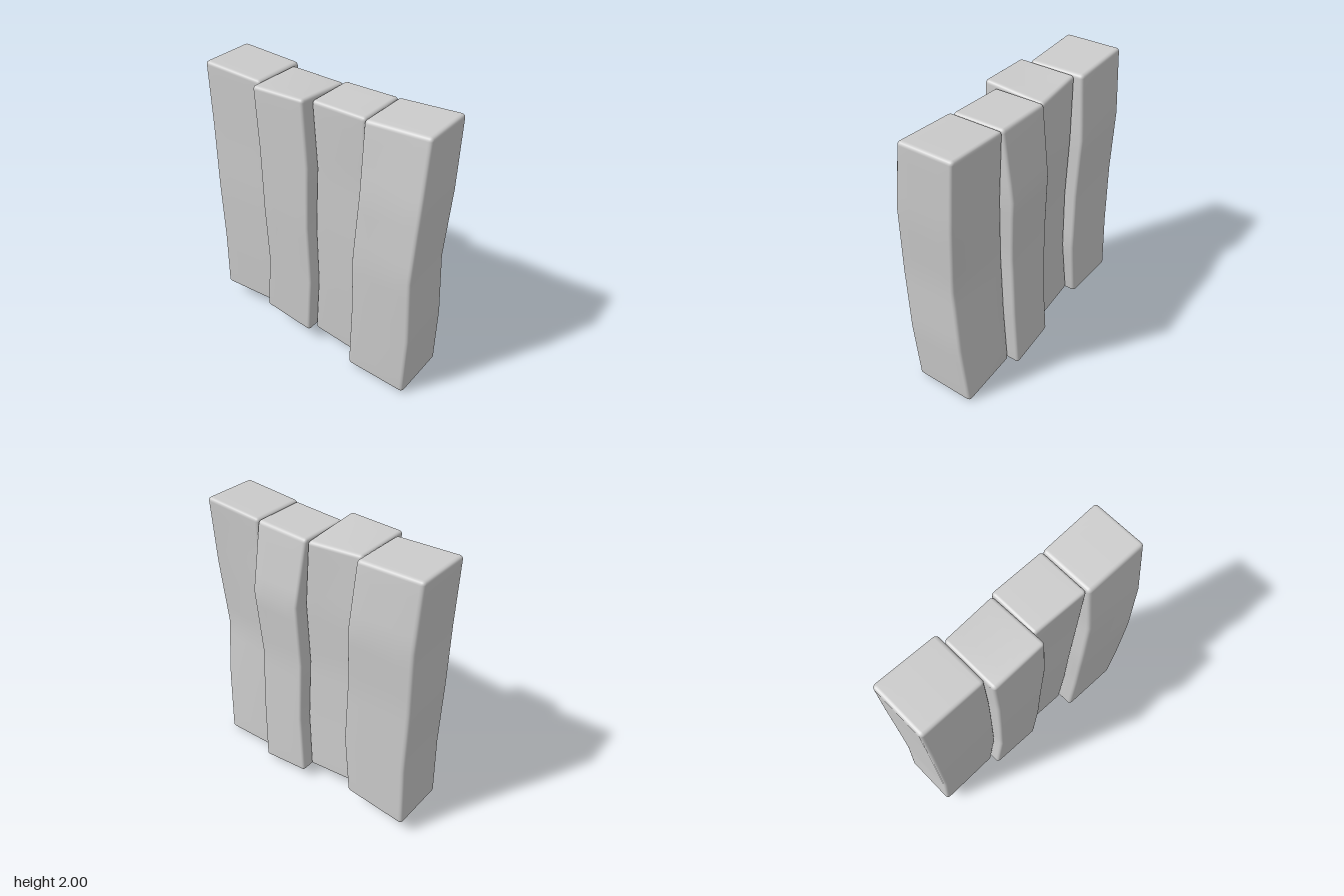
import * as THREE from 'three';
import { mergeVertices } from 'three/addons/utils/BufferGeometryUtils.js';

const { lerp, clamp } = THREE.MathUtils;
const W = 0.42, H = 1.95, D = 0.43, R = 0.026;

// z of the five seams (front face to back face) at five heights, bottom to top
const seams = [
  [0.835, 0.86, 0.852, 0.872, 0.87],
  [0.375, 0.39, 0.39, 0.418, 0.41],
  [0, 0.03, 0.02, 0.032, 0],
  [-0.4, -0.355, -0.367, -0.375, -0.4],
  [-0.867, -0.85, -0.857, -0.862, -0.872],
];

// left / right: x of the -x and +x sides on the front (F) and back (B) edges at five heights
// bottom / top: y as [front -x, front +x, back -x, back +x]
const planks = [
  {
    leftF: [-0.25, -0.268, -0.288, -0.265, -0.2], leftB: [-0.245, -0.25, -0.255, -0.24, -0.19],
    rightF: [0.2, 0.165, 0.13, 0.167, 0.2], rightB: [0.2, 0.182, 0.165, 0.185, 0.2],
    bottom: [0.01, 0, 0.03, 0.03], top: [1.985, 1.985, 1.96, 1.96],
  },
  {
    leftF: [-0.13, -0.145, -0.155, -0.155, -0.175], leftB: [-0.13, -0.14, -0.15, -0.15, -0.155],
    rightF: [0.283, 0.265, 0.248, 0.275, 0.2], rightB: [0.28, 0.27, 0.26, 0.28, 0.21],
    bottom: [0.03, 0.025, 0.08, 0.075], top: [1.96, 1.96, 1.955, 1.955],
  },
  {
    leftF: [-0.21, -0.22, -0.235, -0.24, -0.243], leftB: [-0.21, -0.22, -0.235, -0.24, -0.243],
    rightF: [0.2, 0.185, 0.175, 0.195, 0.2], rightB: [0.2, 0.185, 0.175, 0.19, 0.178],
    bottom: [0.1, 0.095, 0.16, 0.155], top: [1.985, 1.945, 1.975, 1.97],
  },
  {
    leftF: [-0.14, -0.155, -0.165, -0.165, -0.17], leftB: [-0.14, -0.155, -0.165, -0.165, -0.17],
    rightF: [0.27, 0.265, 0.26, 0.278, 0.235], rightB: [0.27, 0.265, 0.26, 0.275, 0.245],
    bottom: [0.135, 0.135, 0.115, 0.105], top: [1.975, 1.975, 2, 2],
  },
];

// value along a five-point profile, t from 0 to 1
function sample(values, t) {
  const i = Math.min(3, Math.floor(t * 4));
  return lerp(values[i], values[i + 1], t * 4 - i);
}

// grid lines of one axis: tight at the rounded ends, even between
function gridLines(size, inner) {
  const h = size / 2;
  const start = [0, 0.3, 0.65, 1].map((k) => -h + R * k);
  const middle = [];
  for (let i = 1; i < inner; i++) middle.push(-h + (size * i) / inner);
  return [...start, ...middle, ...start.map((v) => -v).reverse()];
}

// box with rounded edges and regular subdivisions on its faces
function roundedBlock() {
  const size = [W, H, D];
  const lines = [gridLines(W, 4), gridLines(H, 16), gridLines(D, 4)];
  const n = lines.map((l) => l.length - 1);
  let geo = new THREE.BoxGeometry(1, 1, 1, ...n);
  geo.deleteAttribute('normal');
  geo.deleteAttribute('uv');
  geo = mergeVertices(geo);
  const pos = geo.attributes.position;
  for (let i = 0; i < pos.count; i++) {
    const p = [0, 1, 2].map((a) => lines[a][Math.round((pos.getComponent(i, a) + 0.5) * n[a])]);
    const core = p.map((v, a) => clamp(v, -size[a] / 2 + R, size[a] / 2 - R));
    const off = new THREE.Vector3(...p.map((v, a) => v - core[a])).setLength(R);
    pos.setXYZ(i, core[0] + off.x, core[1] + off.y, core[2] + off.z);
  }
  return geo;
}

// bend the block to its plank profiles
function plankGeometry(index) {
  const k = planks[index];
  const geo = roundedBlock();
  const pos = geo.attributes.position;
  const corner = (c, u, w) => lerp(lerp(c[0], c[1], u), lerp(c[2], c[3], u), w);
  for (let i = 0; i < pos.count; i++) {
    const u = clamp(pos.getX(i) / W + 0.5, 0, 1);
    const t = clamp(pos.getY(i) / H + 0.5, 0, 1);
    const w = clamp(0.5 - pos.getZ(i) / D, 0, 1);
    const left = lerp(sample(k.leftF, t), sample(k.leftB, t), w);
    const right = lerp(sample(k.rightF, t), sample(k.rightB, t), w);
    pos.setXYZ(
      i,
      lerp(left, right, u),
      lerp(corner(k.bottom, u, w), corner(k.top, u, w), t),
      lerp(sample(seams[index], t), sample(seams[index + 1], t), w),
    );
  }
  geo.computeVertexNormals();
  return geo;
}

export function createModel() {
  const group = new THREE.Group();
  group.name = 'plankWall';
  const material = new THREE.MeshStandardMaterial({ color: 0xcccccc });
  ['frontPlank', 'frontMiddlePlank', 'backMiddlePlank', 'backPlank'].forEach((name, i) => {
    const mesh = new THREE.Mesh(plankGeometry(i), material);
    mesh.name = name;
    group.add(mesh);
  });
  return group;
}
